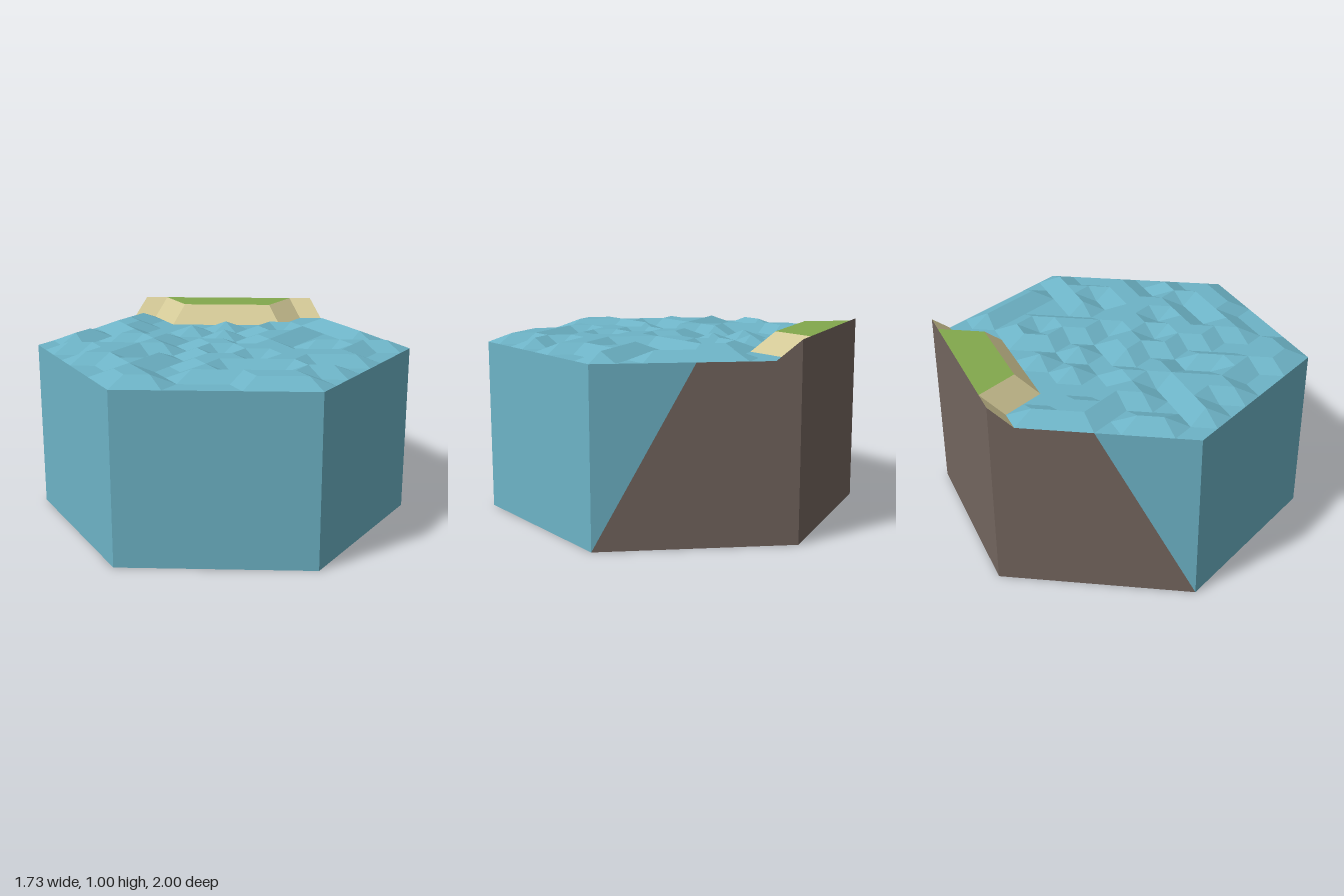
import * as THREE from 'three';

const SHORE = 0.9, CREST = 0.945, LAND = 1;
const STEP_X = Math.sqrt(3) / 16, STEP_Z = 1 / 16;

function material(name, color) {
  return new THREE.MeshStandardMaterial({ name, color, side: THREE.DoubleSide, flatShading: true });
}

// Triangle soup with each face turned towards a given outward direction
class Surface {
  constructor() { this.points = []; }
  triangle(a, b, c, outward) {
    const n = b.clone().sub(a).cross(c.clone().sub(a));
    const order = n.dot(outward) < 0 ? [a, c, b] : [a, b, c];
    for (const p of order) this.points.push(p.x, p.y, p.z);
  }
  fan(list, outward) {
    for (let i = 1; i < list.length - 1; i++) this.triangle(list[0], list[i], list[i + 1], outward);
  }
  mesh(name, mat) {
    const g = new THREE.BufferGeometry();
    g.setAttribute('position', new THREE.Float32BufferAttribute(this.points, 3));
    g.computeVertexNormals();
    const m = new THREE.Mesh(g, mat);
    m.name = name;
    return m;
  }
}

// Triangular lattice: column i, row k, with i + k even
const inside = (i, k) => Math.abs(i) <= 8 && Math.abs(k) <= 16 - Math.abs(i);
const onRim = (i, k) => Math.abs(i) === 8 || Math.abs(k) === 16 - Math.abs(i);
const isLand = (i, k) => inside(i, k) && (
  (i === 0 && k === -16) || (i === 8 && k === -8) ||
  (i >= 1 && k <= Math.min(i - 12, -2 - i)));
const neighbours = [[0, 2], [0, -2], [1, 1], [1, -1], [-1, 1], [-1, -1]];

// Repeatable choice between wave trough and crest
function isCrest(i, k) {
  const s = Math.sin(i * 12.9898 + k * 78.233) * 43758.5453;
  return s - Math.floor(s) < 0.55;
}

function height(i, k) {
  if (isLand(i, k)) return LAND;
  if (onRim(i, k) || neighbours.some(([a, b]) => isLand(i + a, k + b))) return SHORE;
  return isCrest(i, k) ? CREST : SHORE;
}

export function createModel() {
  const group = new THREE.Group();
  group.name = 'coastTile';
  const waterMat = material('water', 0x6db3c6);
  const sandMat = material('sand', 0xd2c896);
  const grassMat = material('grass', 0x82a84c);
  const earthMat = material('earth', 0x73655e);

  // Top: rippled water, sloping beach and flat grass
  const waves = new Surface(), beach = new Surface(), meadow = new Surface();
  const up = new THREE.Vector3(0, 1, 0);
  const addTop = (cells) => {
    if (!cells.every(([i, k]) => inside(i, k))) return;
    const land = cells.filter(([i, k]) => isLand(i, k)).length;
    const target = land === 3 ? meadow : land > 0 ? beach : waves;
    const [a, b, c] = cells.map(([i, k]) => new THREE.Vector3(i * STEP_X, height(i, k), k * STEP_Z));
    target.triangle(a, b, c, up);
  };
  for (let i = -8; i < 8; i++) {
    for (let k = -16; k <= 16; k++) {
      if ((i + k) % 2 !== 0) continue;
      addTop([[i, k], [i, k + 2], [i + 1, k + 1]]);
      addTop([[i, k], [i + 1, k + 1], [i + 1, k - 1]]);
    }
  }

  // Side walls, corners running round from the back
  const waterWall = new Surface(), earthWall = new Surface();
  const corners = [];
  for (let n = 0; n < 6; n++) {
    const angle = n * Math.PI / 3;
    corners.push(new THREE.Vector3(Math.sin(angle), 0, -Math.cos(angle)));
  }
  const at = (a, b, t, y) => a.clone().lerp(b, t).setY(y);

  function plainWall(surface, a, b, top) {
    surface.fan([a, b, at(a, b, 1, top), at(a, b, 0, top)], a.clone().add(b));
  }

  // Wall from a land corner to a water corner, split along a diagonal
  function splitWall(landCorner, farCorner) {
    const out = landCorner.clone().add(farCorner);
    const p = (t, y) => at(landCorner, farCorner, t, y);
    earthWall.fan([p(1, 0), p(0.5, SHORE), p(0.875, SHORE).lerp(p(0.125, SHORE), 1), p(0, LAND), p(0, 0)], out);
    waterWall.fan([p(1, 0), p(1, SHORE), p(0.5, SHORE)], out);
  }

  plainWall(earthWall, corners[0], corners[1], LAND);
  splitWall(corners[1], corners[2]);
  splitWall(corners[0], corners[5]);
  for (let n = 2; n < 5; n++) plainWall(waterWall, corners[n], corners[n + 1], SHORE);

  group.add(
    waves.mesh('waterSurface', waterMat),
    beach.mesh('beach', sandMat),
    meadow.mesh('grass', grassMat),
    waterWall.mesh('waterSides', waterMat),
    earthWall.mesh('earthSides', earthMat),
  );
  return group;
}
